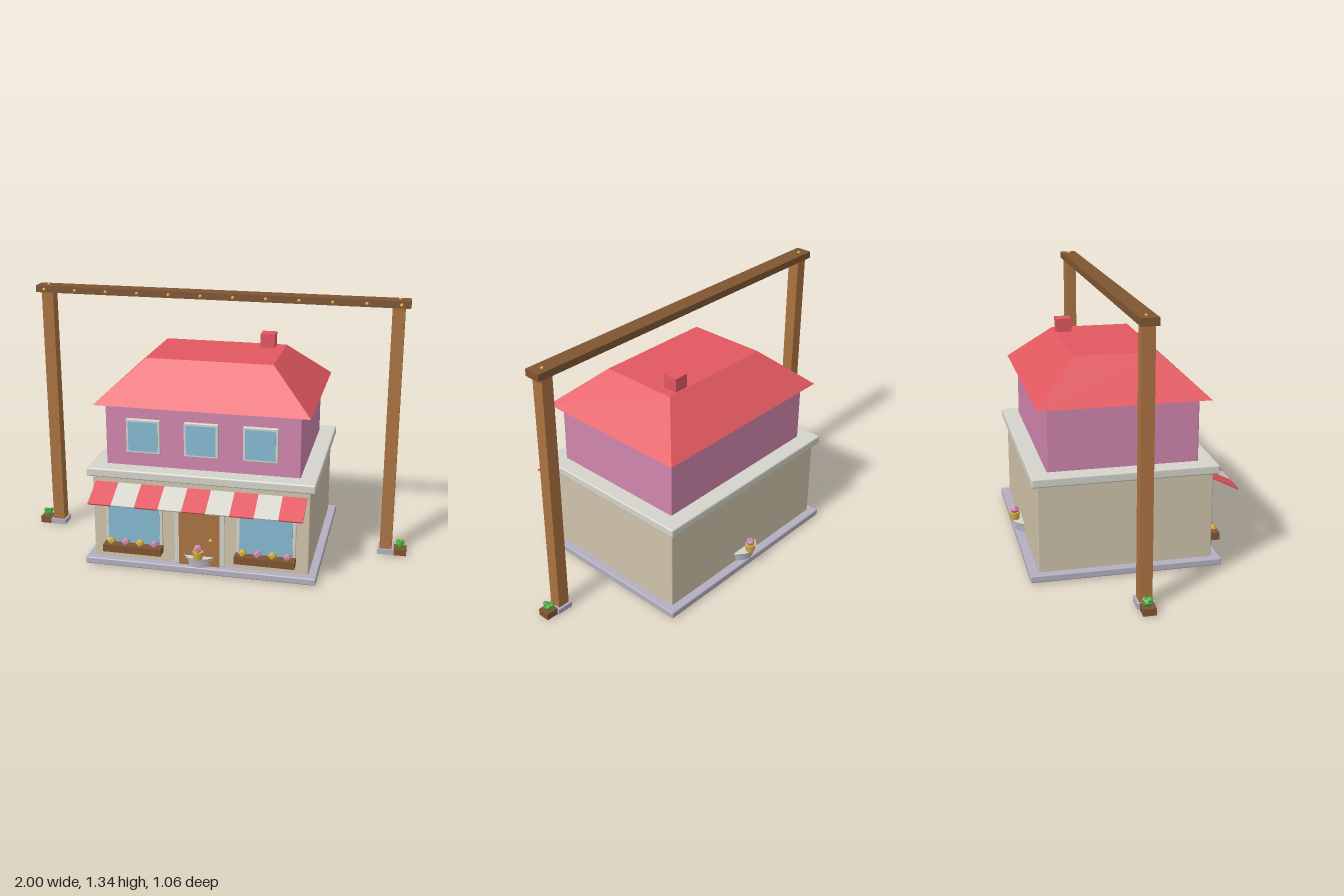
import * as THREE from 'three';
import { RoundedBoxGeometry } from 'three/addons/geometries/RoundedBoxGeometry.js';

const mat = (name, color) => {
  const m = new THREE.MeshStandardMaterial({ color });
  m.name = name;
  return m;
};

export function createModel() {
  const red = mat('red', 0xe2575f), pink = mat('pink', 0xd086ae), beige = mat('beige', 0xd0c3ab);
  const trim = mat('offWhite', 0xd4d4cc), wood = mat('wood', 0xab7341), darkWood = mat('darkWood', 0x7f5533);
  const stone = mat('stone', 0xb4afbf), glass = mat('glass', 0x86bad2), gold = mat('gold', 0xd6b042);
  const green = mat('leafGreen', 0x4caa3c);
  const model = new THREE.Group();
  model.name = 'shopHouse';
  const MID = -0.032; // depth centre of the house

  const add = (name, geo, material, x = 0, y = 0, z = 0) => {
    const mesh = new THREE.Mesh(geo, material);
    mesh.name = name;
    mesh.position.set(x, y, z);
    model.add(mesh);
    return mesh;
  };
  // Box from its limits, optionally with rounded edges
  const box = (name, material, [x0, x1], [y0, y1], [z0, z1], r = 0) => {
    const s = [x1 - x0, y1 - y0, z1 - z0];
    const geo = r ? new RoundedBoxGeometry(...s, 2, r) : new THREE.BoxGeometry(...s);
    return add(name, geo, material, (x0 + x1) / 2, (y0 + y1) / 2, (z0 + z1) / 2);
  };
  const ball = (name, material, r, x, y, z, detail = 0) =>
    add(name, new THREE.IcosahedronGeometry(r, detail), material, x, y, z);

  // House body
  box('foundation', stone, [-0.585, 0.585], [0.005, 0.04], [-0.502, 0.437], 0.006);
  box('groundFloor', beige, [-0.545, 0.545], [0.035, 0.48], [-0.46, 0.396], 0.006);
  box('cornice', trim, [-0.57, 0.57], [0.475, 0.52], [-0.487, 0.421], 0.008);
  box('upperFloor', pink, [-0.487, 0.487], [0.515, 0.84], [-0.403, 0.337], 0.006);

  // Hipped roof: a box whose top is drawn in
  const roofGeo = new THREE.BoxGeometry(1.07, 0.195, 0.836).toNonIndexed();
  const p = roofGeo.attributes.position;
  for (let i = 0; i < p.count; i++) {
    if (p.getY(i) > 0) {
      p.setX(i, Math.sign(p.getX(i)) * 0.32);
      p.setZ(i, Math.sign(p.getZ(i)) * 0.206);
    }
  }
  roofGeo.computeVertexNormals();
  add('roof', roofGeo, red, 0, 0.9325, MID);
  box('chimney', red, [0.195, 0.27], [1.0, 1.1], [-0.23, -0.153]);

  // Upper windows
  for (const x of [-0.294, -0.002, 0.291]) {
    box('upperWindowFrame', trim, [x - 0.086, x + 0.086], [0.59, 0.765], [0.33, 0.352], 0.004);
    box('upperWindowGlass', glass, [x - 0.074, x + 0.074], [0.602, 0.753], [0.35, 0.357]);
  }

  // Shop windows with flower boxes
  for (const side of [-1, 1]) {
    const x = side * 0.334;
    box('shopWindowFrame', trim, [x - 0.147, x + 0.147], [0.10, 0.385], [0.39, 0.404], 0.004);
    box('shopWindowGlass', glass, [x - 0.131, x + 0.131], [0.115, 0.368], [0.403, 0.411]);
    box('flowerBox', darkWood, [x - 0.149, x + 0.149], [0.092, 0.13], [0.405, 0.46]);
    for (let i = 0; i < 4; i++) {
      ball('flower', i % 2 ? pink : gold, 0.021, x - 0.111 + i * 0.074, 0.143, 0.434);
    }
  }

  // Door
  box('doorFrame', trim, [-0.127, 0.127], [0.04, 0.375], [0.39, 0.403], 0.004);
  box('door', wood, [-0.103, 0.103], [0.04, 0.345], [0.402, 0.41]);
  ball('doorKnob', gold, 0.01, 0.06, 0.184, 0.418, 1);

  // Striped awning
  const tilt = Math.atan2(0.068, 0.134);
  for (let i = 0; i < 9; i++) {
    const strip = add('awningStripe', new THREE.BoxGeometry(0.1175, 0.008, 0.15), i % 2 ? trim : red,
      (i - 4) * 0.1175, 0.408, 0.463);
    strip.rotation.x = tilt;
  }

  // Round steps carrying a potted flower, front and back
  for (const side of [-1, 1]) {
    const at = (d) => MID + side * d;
    add('lowerStep', new THREE.CylinderGeometry(0.076, 0.076, 0.04, 12), stone, 0, 0.057, at(0.392));
    add('upperStep', new THREE.CylinderGeometry(0.097, 0.09, 0.018, 12), trim, 0, 0.083, at(0.386));
    add('flowerPot', new THREE.CylinderGeometry(0.027, 0.023, 0.038, 10), gold, 0, 0.11, at(0.467));
    ball('potFlower', pink, 0.023, 0, 0.143, at(0.467));
  }

  // Timber arch over the house
  box('beam', darkWood, [-0.95, 0.95], [1.3, 1.335], [-0.074, 0.01]);
  for (const side of [-1, 1]) {
    const span = (a, b) => (side > 0 ? [a, b] : [-b, -a]);
    box('post', wood, span(0.863, 0.924), [0.02, 1.3], [-0.062, -0.001]);
    box('postFoot', stone, span(0.853, 0.937), [0.005, 0.032], [-0.074, 0.01]);
    box('postPlanter', darkWood, span(0.935, 1.0), [0, 0.035], [-0.062, 0]);
    // Leafy tuft
    ball('leaves', green, 0.024, side * 0.967, 0.052, MID);
    ball('leaves', green, 0.015, side * 0.975, 0.068, MID + 0.008);
    ball('leaves', green, 0.014, side * 0.956, 0.06, MID - 0.014);
    ball('topBead', gold, 0.008, side * 0.897, 1.335, MID - 0.005, 1);
  }
  // Beads along the beam
  for (let i = 0; i < 12; i++) {
    ball('beamBead', gold, 0.009, -0.906 + i * 0.1647, 1.316, 0.01, 1);
  }
  return model;
}
